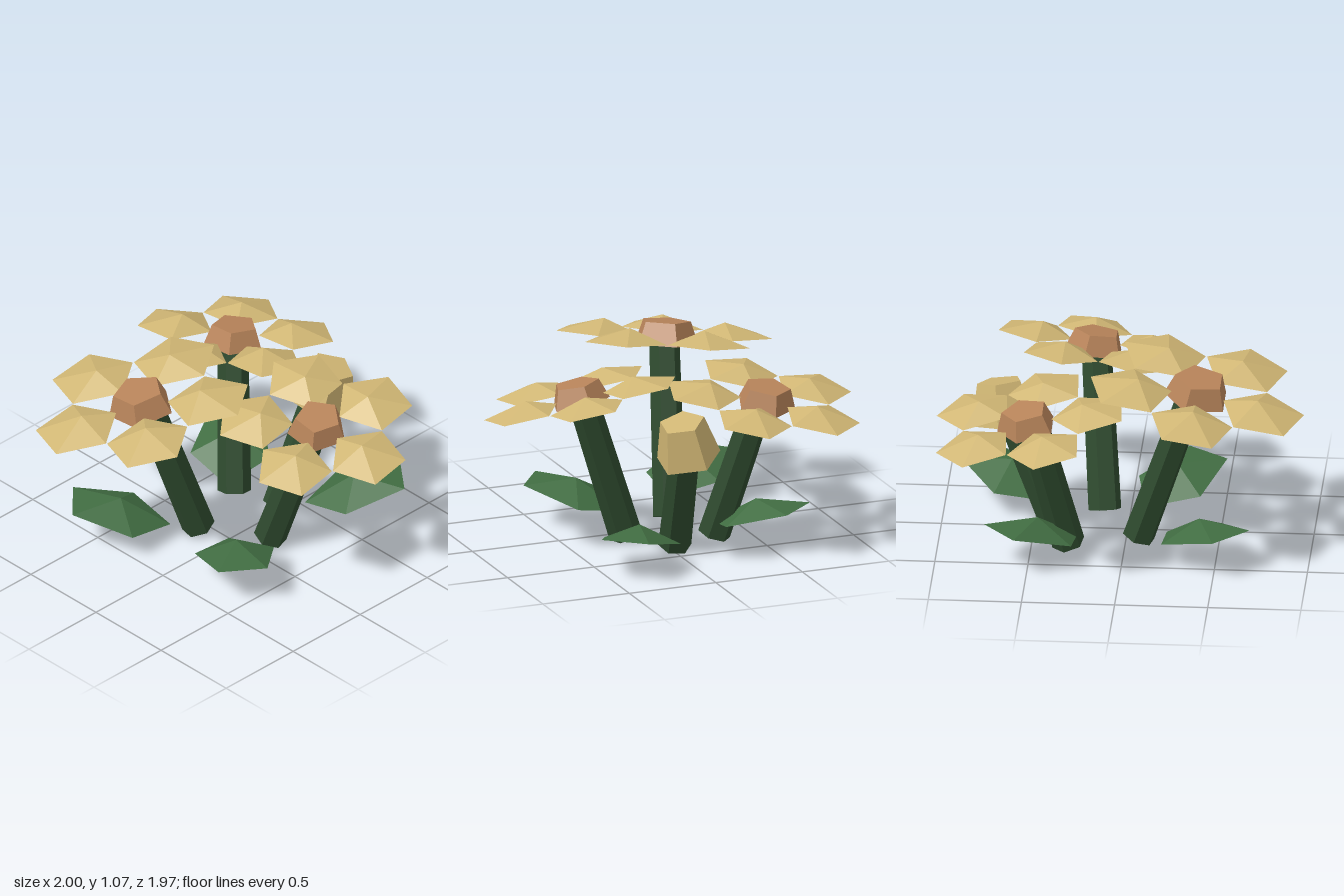
import * as THREE from 'three';

const Y = new THREE.Vector3(0, 1, 0);
const v = (p) => new THREE.Vector3(...p);
const rad = THREE.MathUtils.degToRad;

// Split the faces so that every facet is shaded flat
function faceted(geometry) {
  const g = geometry.toNonIndexed();
  g.computeVertexNormals();
  return g;
}

// Shallow five-sided blade: one corner points to -x, a flat edge to +x, apex slid along x
function bladeGeometry(length, width, height, apexShift) {
  const g = new THREE.ConeGeometry(1, 1, 5, 1);
  g.rotateY(-Math.PI / 2);
  g.translate(0, 0.5, 0);
  g.scale(length, height, width);
  const p = g.attributes.position;
  for (let i = 0; i < p.count; i++) {
    if (p.getY(i) > height / 2) p.setX(i, p.getX(i) + apexShift);
  }
  return faceted(g);
}

export function createModel() {
  const model = new THREE.Group();
  model.name = 'flowerCluster';

  const material = (name, color) => {
    const m = new THREE.MeshStandardMaterial({ color });
    m.name = name;
    return m;
  };
  const petalMat = material('straw yellow', 0xd0b674);
  const coreMat = material('terracotta', 0xb8845a);
  const stemMat = material('dark green', 0x2e4a2e);
  const leafMat = material('leaf green', 0x416d42);

  function add(parent, name, geometry, mat) {
    const mesh = new THREE.Mesh(geometry, mat);
    mesh.name = name;
    parent.add(mesh);
    return mesh;
  }

  // Tapered prism running between two points
  function prism(name, from, to, rBottom, rTop, sides, turn, mat) {
    const a = v(from), b = v(to);
    const g = new THREE.CylinderGeometry(rTop, rBottom, a.distanceTo(b), sides);
    g.rotateY(turn);
    const mesh = add(model, name, faceted(g), mat);
    mesh.position.copy(a).lerp(b, 0.5);
    mesh.quaternion.setFromUnitVectors(Y, b.sub(a).normalize());
  }

  // Stems
  const stems = [
    ['frontStem', [-0.17, 0.03, 0.07], [-0.26, 0.93, 0.37]],
    ['leftStem', [0.17, 0.03, -0.135], [0.45, 0.86, -0.2]],
    ['backStem', [-0.275, 0.03, -0.3], [-0.47, 0.82, -0.48]],
    ['budStem', [-0.015, 0.025, -0.38], [0.025, 0.62, -0.62]],
  ];
  for (const [name, from, to] of stems) {
    prism(name, from, to, 0.09, 0.082, 6, 0.3, stemMat);
  }

  // Closed bud
  prism('bud', [0.02, 0.59, -0.66], [0.07, 0.81, -0.69], 0.18, 0.125, 5, Math.PI + 0.19, petalMat);

  // Open flowers: five petals around a tapered core, each head tilted its own way
  const petalGeo = bladeGeometry(0.21, 0.21, 0.065, -0.035);
  const coreGeo = faceted(new THREE.CylinderGeometry(0.125, 0.165, 0.11, 5).rotateY(Math.PI));
  const flowers = [
    { name: 'frontFlower', at: [-0.275, 0.945, 0.4], up: [-0.11, 1, 0.15], turn: 38, size: 1.1 },
    { name: 'leftFlower', at: [0.47, 0.87, -0.2], up: [0.16, 1, 0.13], turn: -5, size: 1 },
    { name: 'backFlower', at: [-0.49, 0.83, -0.51], up: [-0.1, 1, -0.15], turn: 15, size: 1 },
  ];
  for (const f of flowers) {
    const head = new THREE.Group();
    head.name = f.name;
    head.position.set(...f.at);
    head.quaternion.setFromUnitVectors(Y, v(f.up).normalize());
    head.scale.setScalar(f.size);
    model.add(head);
    add(head, 'core', coreGeo, coreMat).position.y = 0.01;
    for (let i = 0; i < 5; i++) {
      const a = rad(f.turn + i * 72);
      const petal = add(head, 'petal', petalGeo, petalMat);
      petal.position.set(Math.cos(a) * 0.345, -0.01, Math.sin(a) * 0.345);
      petal.rotation.y = -a;
    }
  }

  // Leaves, rising outward from the foot of the stems
  const leafGeo = bladeGeometry(0.3, 0.225, 0.09, 0);
  const leaves = [
    [-0.43, 0.43, 135],
    [0.32, 0.26, 36],
    [0.31, -0.66, -51],
    [-0.47, -0.47, -130],
  ];
  for (const [x, z, angle] of leaves) {
    const leaf = add(model, 'leaf', leafGeo, leafMat);
    leaf.position.set(x, 0.165, z);
    leaf.rotation.set(0, -rad(angle), 0.27);
  }

  return model;
}
